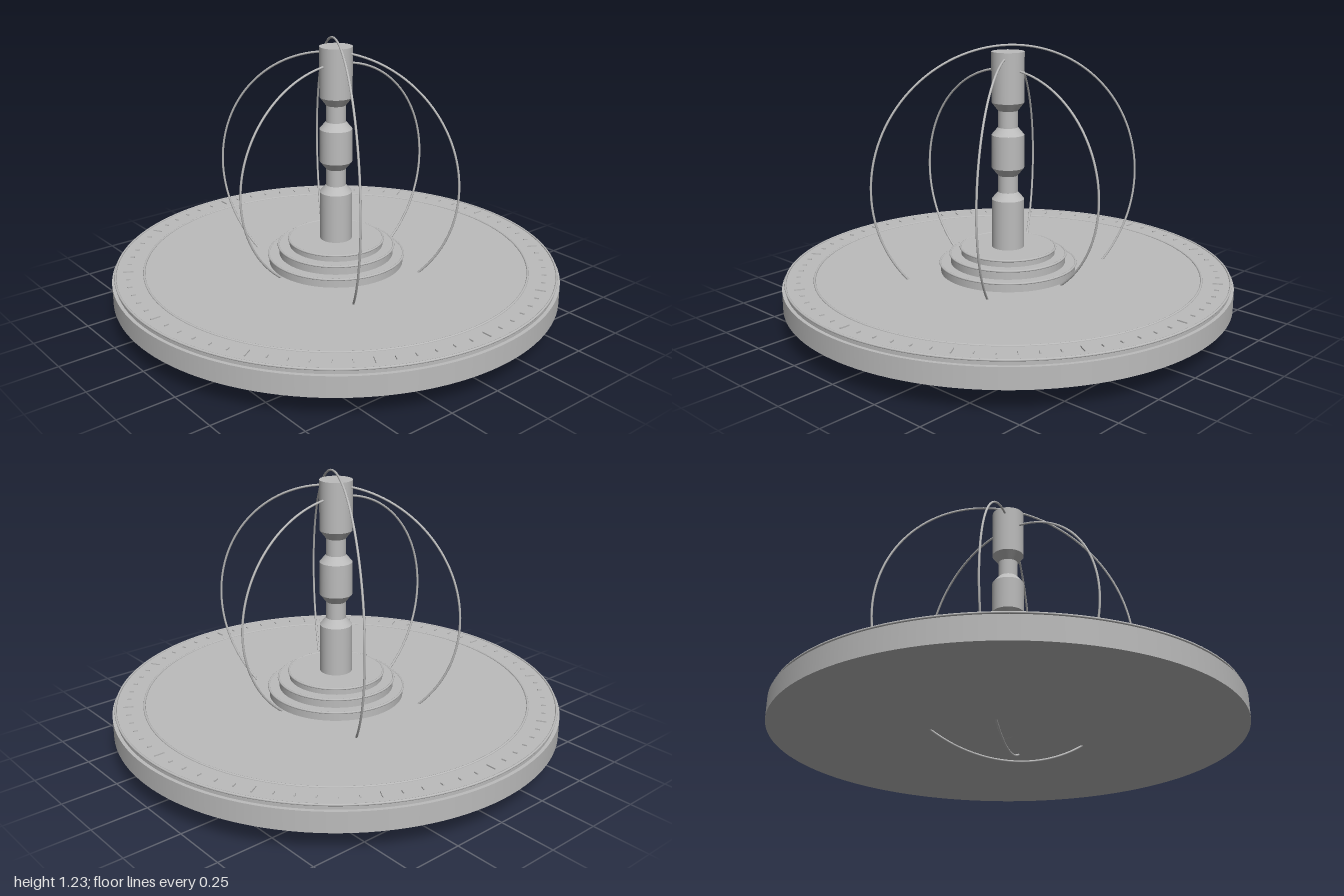
import * as THREE from 'three';

const grey = new THREE.MeshStandardMaterial({ color: 0xbcbcbc });
grey.name = 'grey';

export function createModel() {
  const model = new THREE.Group();
  model.name = 'ringedDial';

  const add = (parent, name, geometry, y = 0) => {
    const mesh = new THREE.Mesh(geometry, grey);
    mesh.name = name;
    mesh.position.y = y;
    parent.add(mesh);
    return mesh;
  };
  // Round section from height y0 (radius r0) to y1 (radius r1)
  const section = (parent, name, y0, r0, y1, r1 = r0, sides = 64) =>
    add(parent, name, new THREE.CylinderGeometry(r1, r0, y1 - y0, sides), (y0 + y1) / 2);
  // Horizontal wire ring
  const flatRing = (parent, name, radius, y, tube = 0.005) => {
    const ring = add(parent, name, new THREE.TorusGeometry(radius, tube, 8, 128), y);
    ring.rotation.x = Math.PI / 2;
    return ring;
  };

  // Base disc with a slightly narrower top plate
  section(model, 'baseDisc', 0.11, 1, 0.2, 1, 128);
  section(model, 'topPlate', 0.2, 0.985, 0.22, 0.985, 128);
  flatRing(model, 'outerDialRing', 0.985, 0.22);
  flatRing(model, 'innerDialRing', 0.86, 0.22);

  // Dial marks every 5 degrees, longer ones every 30
  const marks = new THREE.Group();
  marks.name = 'dialMarks';
  model.add(marks);
  for (let i = 0; i < 72; i++) {
    const major = i % 6 === 0;
    const a = (i / 72) * Math.PI * 2;
    const mark = add(marks, major ? 'majorMark' : 'minorMark',
      new THREE.BoxGeometry(major ? 0.045 : 0.02, 0.008, 0.005), 0.222);
    mark.position.x = Math.cos(a) * 0.93;
    mark.position.z = -Math.sin(a) * 0.93;
    mark.rotation.y = a;
  }

  // Stepped plinth with rimmed edges
  [[0.22, 0.26, 0.302], [0.26, 0.3, 0.257], [0.3, 0.33, 0.21]].forEach(([y0, y1, r]) => {
    section(model, 'plinthStep', y0, r, y1);
    flatRing(model, 'plinthRim', r + 0.002, y1 - 0.002);
  });

  // Central column: wide drums joined by narrow necks
  const column = new THREE.Group();
  column.name = 'column';
  model.add(column);
  const profile = [
    [0.33, 0.072], [0.55, 0.072], [0.583, 0.044], [0.658, 0.044], [0.693, 0.072],
    [0.84, 0.072], [0.873, 0.044], [0.947, 0.044], [0.983, 0.072], [1.203, 0.072],
  ];
  for (let i = 0; i + 1 < profile.length; i++) {
    section(column, 'columnSection', ...profile[i], ...profile[i + 1], 32);
  }

  // Upright orbit rings, turned 60 degrees apart
  [[0.507, 0], [0.559, -Math.PI / 3], [0.61, Math.PI / 3]].forEach(([r, turn]) => {
    const ring = add(model, 'orbitRing', new THREE.TorusGeometry(r, 0.005, 8, 128), 0.62);
    ring.rotation.y = turn;
  });

  return model;
}
